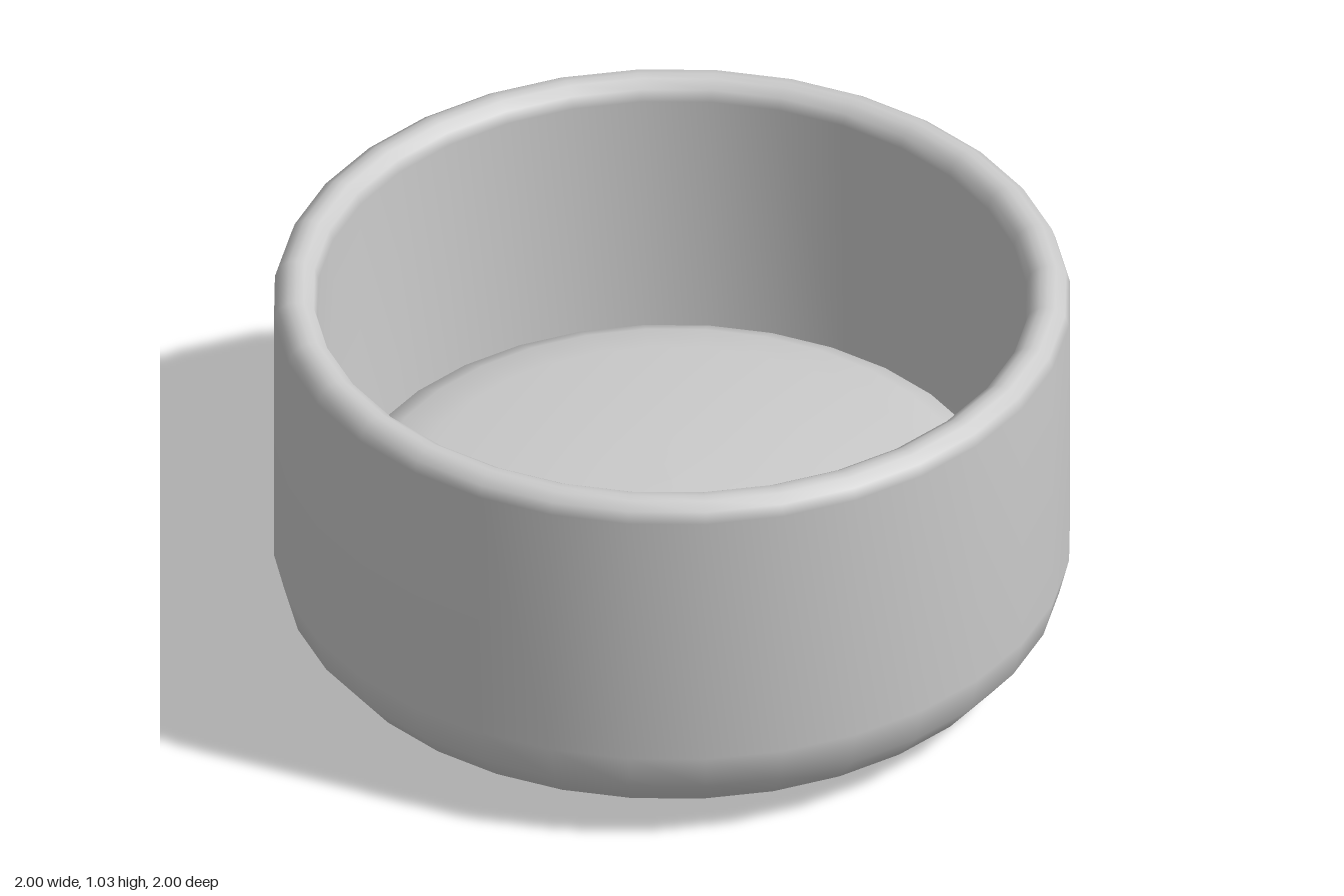
import * as THREE from 'three';

const SIDES = 32;

// Revolve a profile of [radius, height] pairs around the y axis
function revolve(name, profile) {
  const points = profile.map(([r, y]) => new THREE.Vector2(r, y));
  const material = new THREE.MeshStandardMaterial({ color: 0xcccccc });
  const mesh = new THREE.Mesh(new THREE.LatheGeometry(points, SIDES), material);
  mesh.name = name;
  return mesh;
}

export function createModel() {
  const group = new THREE.Group();
  group.name = 'filledBowl';

  // Bowl: flat base, rounded lower corner, straight wall, soft rim, hollow inside
  group.add(revolve('bowl', [
    [0, 0], [0.69, 0], [0.71, 0.002], [0.82, 0.03], [0.91, 0.09], [0.975, 0.17], [1, 0.27],
    [1, 0.98], [0.99, 1.01], [0.965, 1.027], [0.945, 1.03], [0.925, 1.027], [0.9, 1.01], [0.89, 0.98],
    [0.89, 0.27], [0.85, 0.18], [0.77, 0.12], [0.66, 0.1], [0, 0.1],
  ]));

  // Contents: a gently domed filling with a rounded edge
  group.add(revolve('filling', [
    [0.885, 0.22], [0.87, 0.28], [0.83, 0.345], [0.76, 0.38],
    [0.65, 0.4], [0.4, 0.425], [0.2, 0.436], [0, 0.44],
  ]));

  return group;
}
